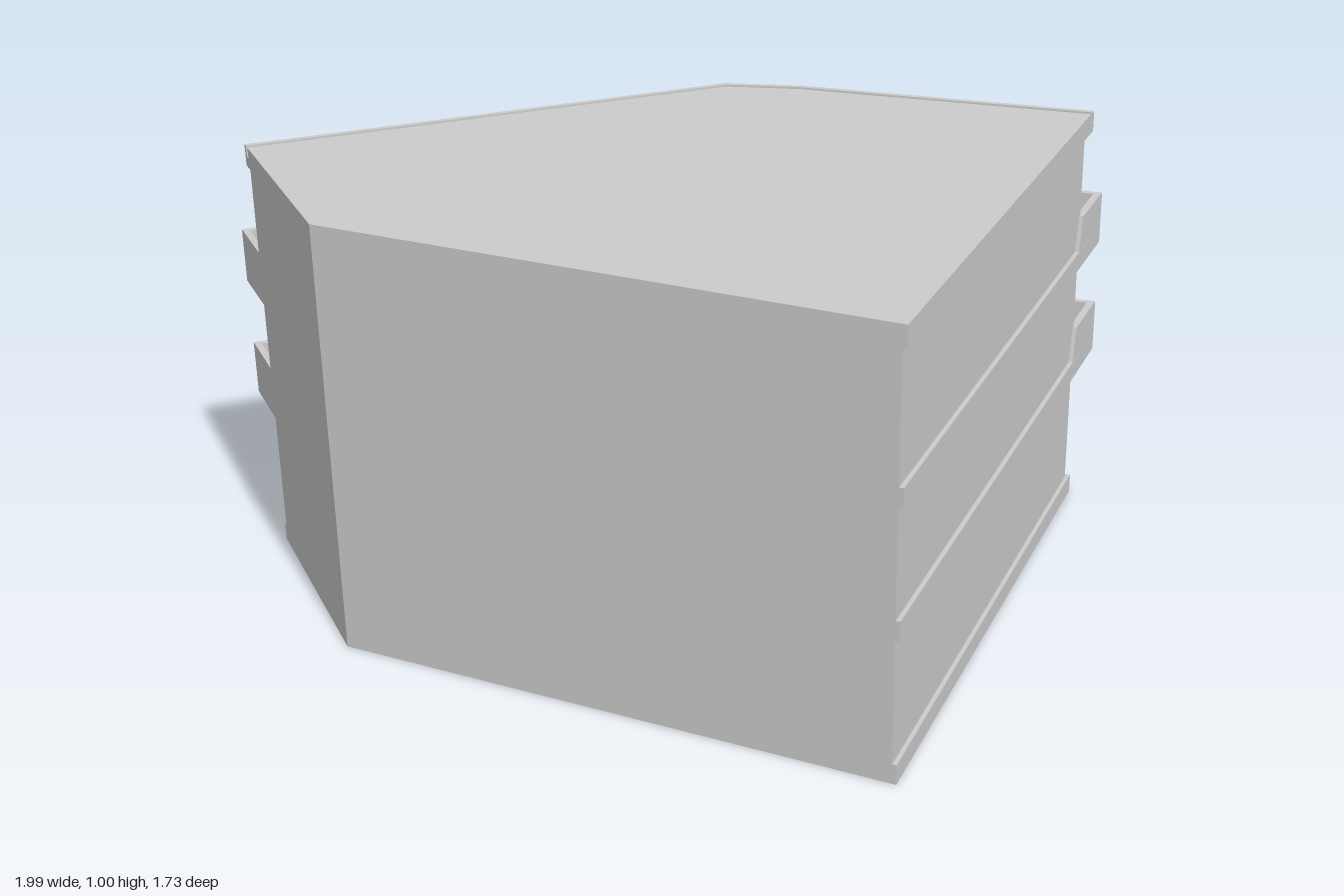
import * as THREE from 'three';
import { toCreasedNormals } from 'three/addons/utils/BufferGeometryUtils.js';

const material = new THREE.MeshStandardMaterial({ color: 0xcccccc });

// Rear edge of the plan [x, z]: on the wall line and on the balcony line.
const WALL = [[-1, -0.69], [0.18, -0.682], [0.33, -0.587], [0.857, -0.112]];
const BALCONY = [[-1, -0.865], [0.23, -0.855], [0.44, -0.735], [0.988, -0.237]];
// Outward normal of the banded front facade.
const N = [0.693, 0.721];
const BAND = 0.01;

// Rear edge at fraction t between wall and balcony lines; the end slides out by e.
function rearEdge(t, e = 0) {
  return WALL.map(([x, z], i) => {
    const k = i === 3 ? e : 0;
    return [
      x + (BALCONY[i][0] - x) * t + N[0] * k,
      z + (BALCONY[i][1] - z) * t + N[1] * k,
    ];
  });
}

// Full five-sided plan with the chamfered rear corner.
function plan(t, e = 0) {
  const tip = [-0.149 + e * 0.65, 0.857 + e * 0.76];
  return [...rearEdge(t, e), tip, [-1, -0.135]];
}

// Extrudes a plan outline from y0 to y1.
function slab(name, points, y0, y1) {
  const shape = new THREE.Shape(points.map(([x, z]) => new THREE.Vector2(x, -z)));
  const geometry = new THREE.ExtrudeGeometry(shape, { depth: y1 - y0, bevelEnabled: false });
  geometry.rotateX(-Math.PI / 2);
  geometry.translate(0, y0, 0);
  const mesh = new THREE.Mesh(toCreasedNormals(geometry, 0.4), material);
  mesh.name = name;
  return mesh;
}

// Sloped end piece where the parapet drops to the facade band.
function parapetRamp(y0, y1) {
  const shape = new THREE.Shape();
  shape.moveTo(0, 0);
  shape.lineTo(0.034, 0);
  shape.lineTo(0.008, y1 - y0);
  shape.lineTo(0, y1 - y0);
  const geometry = new THREE.ExtrudeGeometry(shape, { depth: BAND, bevelEnabled: false });
  const mesh = new THREE.Mesh(geometry, material);
  const along = new THREE.Vector3(-N[1], 0, N[0]);
  const up = new THREE.Vector3(0, 1, 0);
  const out = new THREE.Vector3().crossVectors(along, up);
  // Keep the frame right-handed, with the thickness spanning the band depth.
  mesh.quaternion.setFromRotationMatrix(new THREE.Matrix4().makeBasis(along, up, out));
  const outward = out.x * N[0] + out.z * N[1] > 0;
  const start = WALL[3];
  const shift = outward ? 0 : BAND;
  mesh.position.set(start[0] + N[0] * shift, y0, start[1] + N[1] * shift);
  mesh.name = 'parapetRamp';
  return mesh;
}

// Floor slab, wrap-around parapet and its sloped end.
function balcony(y) {
  const group = new THREE.Group();
  group.name = 'balconyFloor';
  const top = y + 0.046;
  const rim = y + 0.13;
  const inner = rearEdge(0.9, -0.008);
  inner[0][0] += 0.016;
  const foot = rearEdge(0, -0.008);
  const parapet = [
    WALL[0], ...rearEdge(1, BAND), rearEdge(0, BAND)[3],
    foot[3], ...inner.reverse(), [-0.984, WALL[0][1]],
  ];
  group.add(
    slab('floorSlab', plan(1, BAND), y, top),
    slab('parapet', parapet, top, rim),
    parapetRamp(top, rim),
  );
  return group;
}

export function createModel() {
  const model = new THREE.Group();
  model.name = 'cornerBuilding';

  // Base plinth
  model.add(slab('plinth', plan(0.08, BAND), 0, 0.046));

  // Storey walls between the slabs
  for (const [y0, y1] of [[0.046, 0.33], [0.376, 0.62], [0.666, 0.95]]) {
    model.add(slab('storeyWall', plan(0), y0, y1));
  }

  // Balconies on the two upper floors
  for (const y of [0.33, 0.62]) model.add(balcony(y));

  // Roof slab with a shallow gutter behind a thin lip
  model.add(
    slab('roofSlab', plan(0.22, BAND), 0.95, 0.975),
    slab('roofField', plan(0.05, BAND), 0.975, 1),
    slab('roofLip', [...rearEdge(0.22, BAND), ...rearEdge(0.14, BAND).reverse()], 0.975, 1),
  );
  return model;
}
